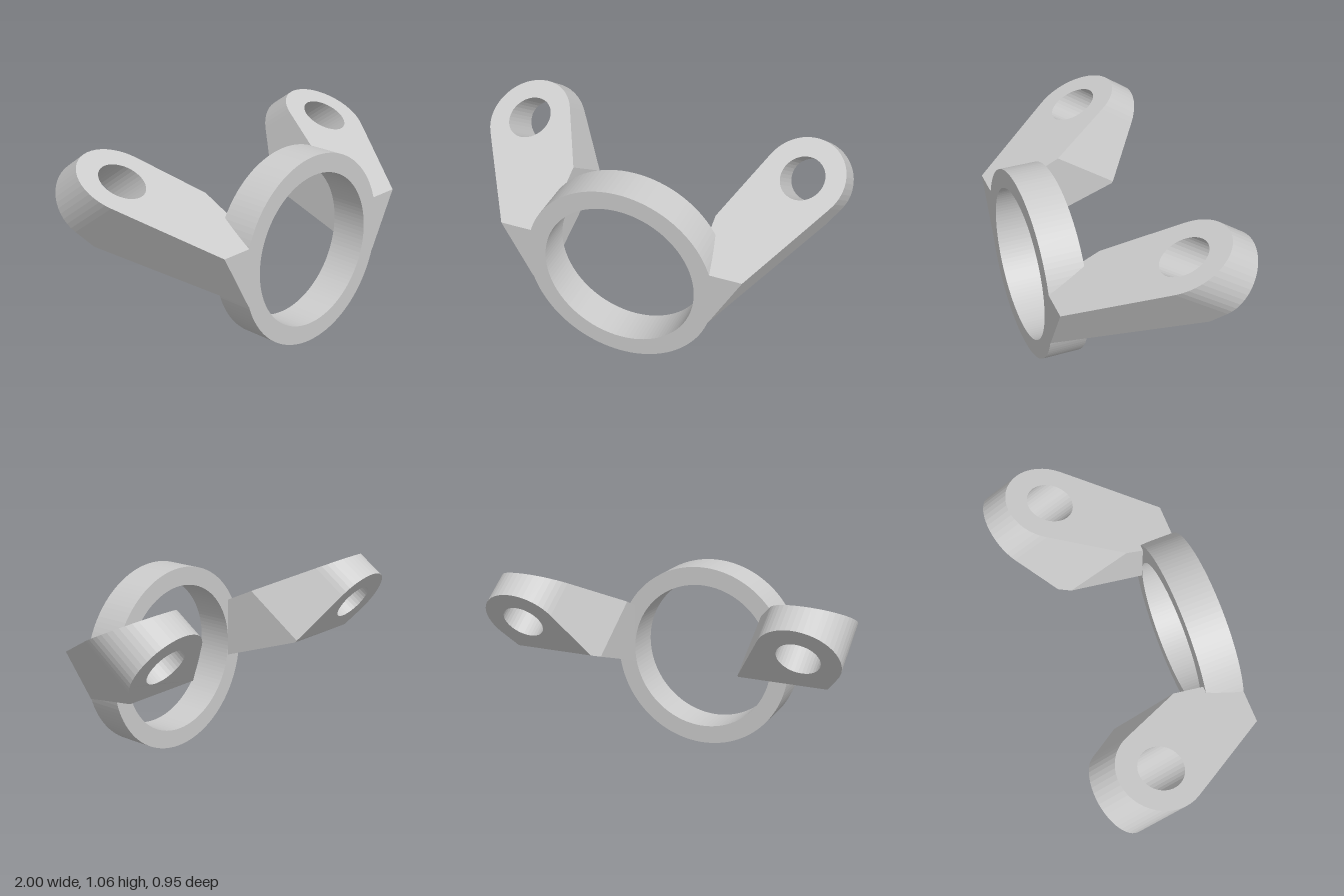
import * as THREE from 'three';

const material = new THREE.MeshStandardMaterial({ color: 0xcccccc, flatShading: true });

const BORE = 0.417, FRONT = 0.475;
const EYE = { x: 0.78, u: 0.854, outer: 0.22, hole: 0.115 };
const C = Math.cos(THREE.MathUtils.degToRad(35)), S = Math.sin(THREE.MathUtils.degToRad(35));

// Arms are prisms along the tilted eye axis: (x, u) is the cross-section, w runs along the axis.
const place = (x, u, w, side) => [side * x, C * u + S * w, -S * u + C * w];
// Upper end: sloping top face, cut off by the flat front
const upper = (u) => Math.min((0.903 - 0.5495 * u) / 0.9585, (FRONT + S * u) / C);
// Lower end: pad square to the eye axis, then the sloping underside
const lower = (u) => Math.min(upper(u), Math.max(0.172, (0.5374 - 0.6167 * u) / 0.8627));

function arc(radius, from, to, steps) {
  return Array.from({ length: steps + 1 }, (_, i) => {
    const t = THREE.MathUtils.degToRad(from + ((to - from) * i) / steps);
    return [EYE.x + radius * Math.cos(t), EYE.u + radius * Math.sin(t)];
  });
}

function armGeometry(side, tilt, innerHead, innerMid) {
  const positions = [];
  const triangle = (a, b, c) => {
    const order = side > 0 ? [a, b, c] : [a, c, b];
    order.forEach((p) => positions.push(...place(...p, side)));
  };

  // Cross-section in three bands, split where the end faces change slope
  const low = [[BORE, 0.03], [0.499, 0.03], [0.667, 0.284], [BORE, 0.284]];
  const mid = [[BORE, 0.284], [0.667, 0.284], [0.896, 0.63], innerHead.at(-1), ...innerMid];
  const head = [[0.896, 0.63], ...arc(EYE.outer, -33.5, 180 - tilt, 24), ...innerHead];
  const hole = arc(EYE.hole, 360, 0, 36).slice(0, -1);

  // End faces
  for (const band of [low, mid, head]) {
    const shape = new THREE.Shape(band.map((p) => new THREE.Vector2(...p)));
    if (band === head) shape.holes.push(new THREE.Path(hole.map((p) => new THREE.Vector2(...p))));
    const flat = new THREE.ShapeGeometry(shape).toNonIndexed().getAttribute('position');
    for (let i = 0; i < flat.count; i += 3) {
      const corners = [0, 1, 2].map((k) => [flat.getX(i + k), flat.getY(i + k)]);
      const [a, b, c] = corners.map(([x, u]) => [x, u, upper(u)]);
      const [d, e, f] = corners.map(([x, u]) => [x, u, lower(u)]);
      triangle(a, b, c);
      triangle(d, f, e);
    }
  }

  // Side walls and the wall of the hole
  const outline = [...low.slice(0, 3), ...head, ...innerMid, [BORE, 0.284]];
  for (const loop of [outline, hole]) {
    loop.forEach(([x0, u0], i) => {
      const [x1, u1] = loop[(i + 1) % loop.length];
      const a = [x0, u0, lower(u0)], b = [x1, u1, lower(u1)];
      const c = [x1, u1, upper(u1)], d = [x0, u0, upper(u0)];
      triangle(a, b, c);
      triangle(a, c, d);
    });
  }

  const geometry = new THREE.BufferGeometry();
  geometry.setAttribute('position', new THREE.Float32BufferAttribute(positions, 3));
  geometry.computeVertexNormals();
  return geometry;
}

export function createModel() {
  const group = new THREE.Group();
  const add = (name, geometry) => {
    const mesh = new THREE.Mesh(geometry, material);
    mesh.name = name;
    group.add(mesh);
    return mesh;
  };

  // Clamp ring
  const ringShape = new THREE.Shape().absarc(0, 0, 0.519, 0, Math.PI * 2, false);
  ringShape.holes.push(new THREE.Path().absarc(0, 0, BORE, 0, Math.PI * 2, true));
  const ring = add('ring', new THREE.ExtrudeGeometry(ringShape, {
    depth: 0.205, bevelEnabled: false, curveSegments: 56,
  }));
  ring.position.set(0, 0.521, FRONT - 0.205);

  // Arms with eyes; their inner sides lean slightly differently
  add('leftArm', armGeometry(1, 23.5, [[0.442, 0.63]], [[BORE, 0.572]]));
  add('rightArm', armGeometry(-1, 27.9, [[BORE, 0.644], [BORE, 0.63]], []));

  return group;
}
